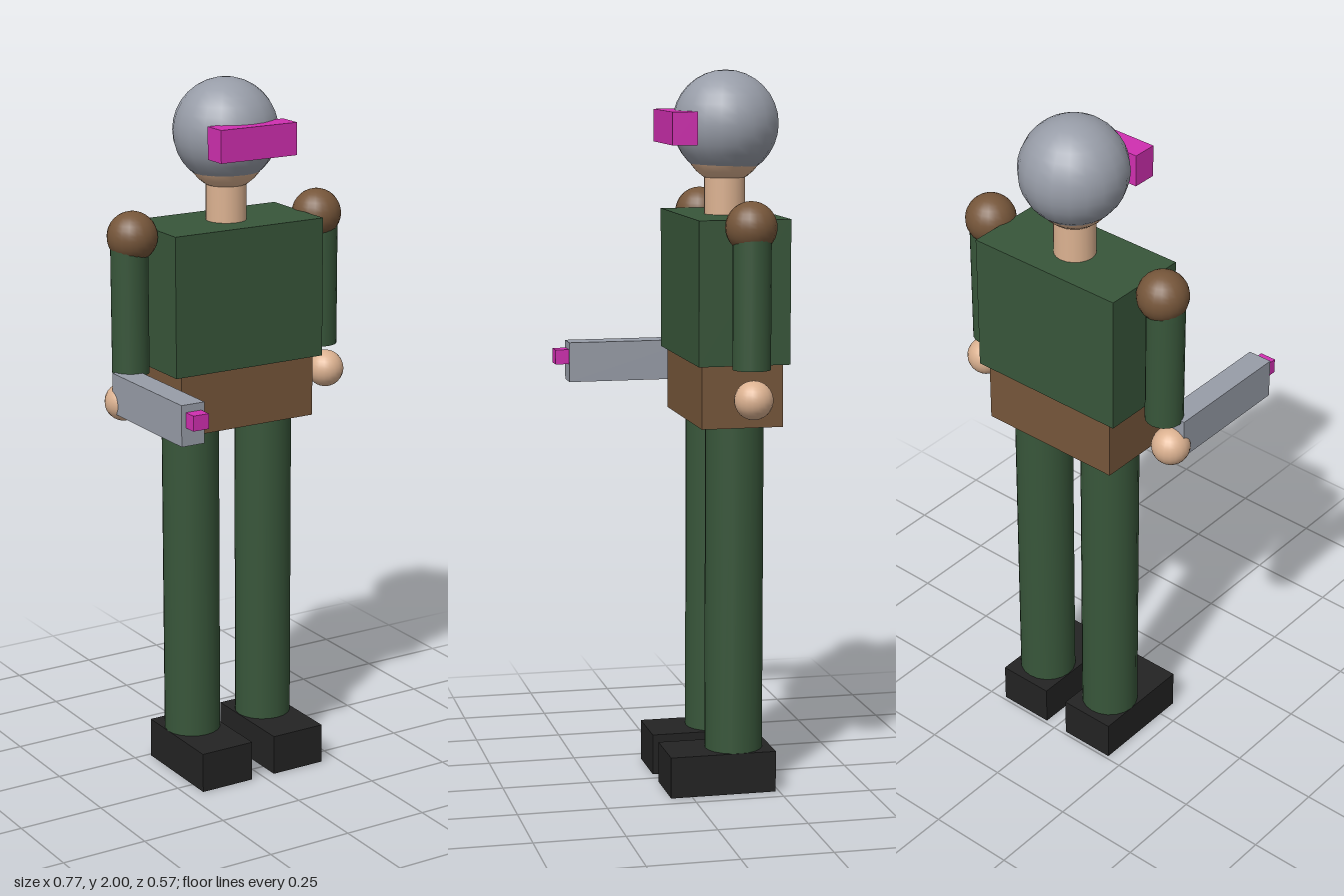
import * as THREE from 'three';

const MID = -0.137; // depth of the body's centre line

const mat = (name, color) => {
  const m = new THREE.MeshStandardMaterial({ color });
  m.name = name;
  return m;
};

export function createModel() {
  const green = mat('uniform green', 0x38563a);
  const brown = mat('leather brown', 0x76563a);
  const grey = mat('metal grey', 0x989da8);
  const skin = mat('skin', 0xdcb291);
  const black = mat('boot black', 0x232323);
  const magenta = mat('glowing magenta', 0xd02fb0);

  const model = new THREE.Group();
  model.name = 'soldier';

  const add = (name, geometry, material, x, y, z) => {
    const mesh = new THREE.Mesh(geometry, material);
    mesh.name = name;
    mesh.position.set(x, y, z);
    model.add(mesh);
  };
  // Box given by its low and high corners
  const box = (name, material, [x0, y0, z0], [x1, y1, z1]) =>
    add(name, new THREE.BoxGeometry(x1 - x0, y1 - y0, z1 - z0), material,
      (x0 + x1) / 2, (y0 + y1) / 2, (z0 + z1) / 2);
  const ball = (name, material, r, x, y, z = MID) =>
    add(name, new THREE.SphereGeometry(r, 20, 16), material, x, y, z);
  // Upright cylinder between two heights
  const post = (name, material, r, x, y0, y1) =>
    add(name, new THREE.CylinderGeometry(r, r, y1 - y0, 20), material, x, (y0 + y1) / 2, MID);

  // Torso and hips
  box('torso', green, [-0.237, 1.21, -0.264], [0.237, 1.605, -0.009]);
  box('hips', brown, [-0.214, 1.036, -0.25], [0.214, 1.21, -0.023]);

  // Head: the face is mostly hidden inside the helmet
  post('neck', skin, 0.057, 0, 1.6, 1.72);
  ball('face', skin, 0.112, 0, 1.802);
  ball('helmet', grey, 0.147, 0, 1.853, -0.139);
  box('visor', magenta, [-0.12, 1.8, -0.033], [0.12, 1.89, 0.037]);

  // Limbs, mirrored
  for (const [side, s] of [['left', 1], ['right', -1]]) {
    ball(`${side}Shoulder`, brown, 0.07, s * 0.298, 1.59);
    post(`${side}Arm`, green, 0.052, s * 0.308, 1.21, 1.58);
    ball(`${side}Hand`, skin, 0.053, s * 0.332, 1.13);
    post(`${side}Leg`, green, 0.081, s * 0.12, 0.11, 1.036);
    const x = s * 0.119;
    box(`${side}Boot`, black, [x - 0.082, 0, -0.24], [x + 0.082, 0.116, 0.06]);
  }

  // Weapon in the right hand
  box('gunBody', grey, [-0.37, 1.104, -0.13], [-0.3, 1.218, 0.246]);
  box('gunMuzzle', magenta, [-0.357, 1.155, 0.24], [-0.31, 1.197, 0.285]);

  return model;
}
